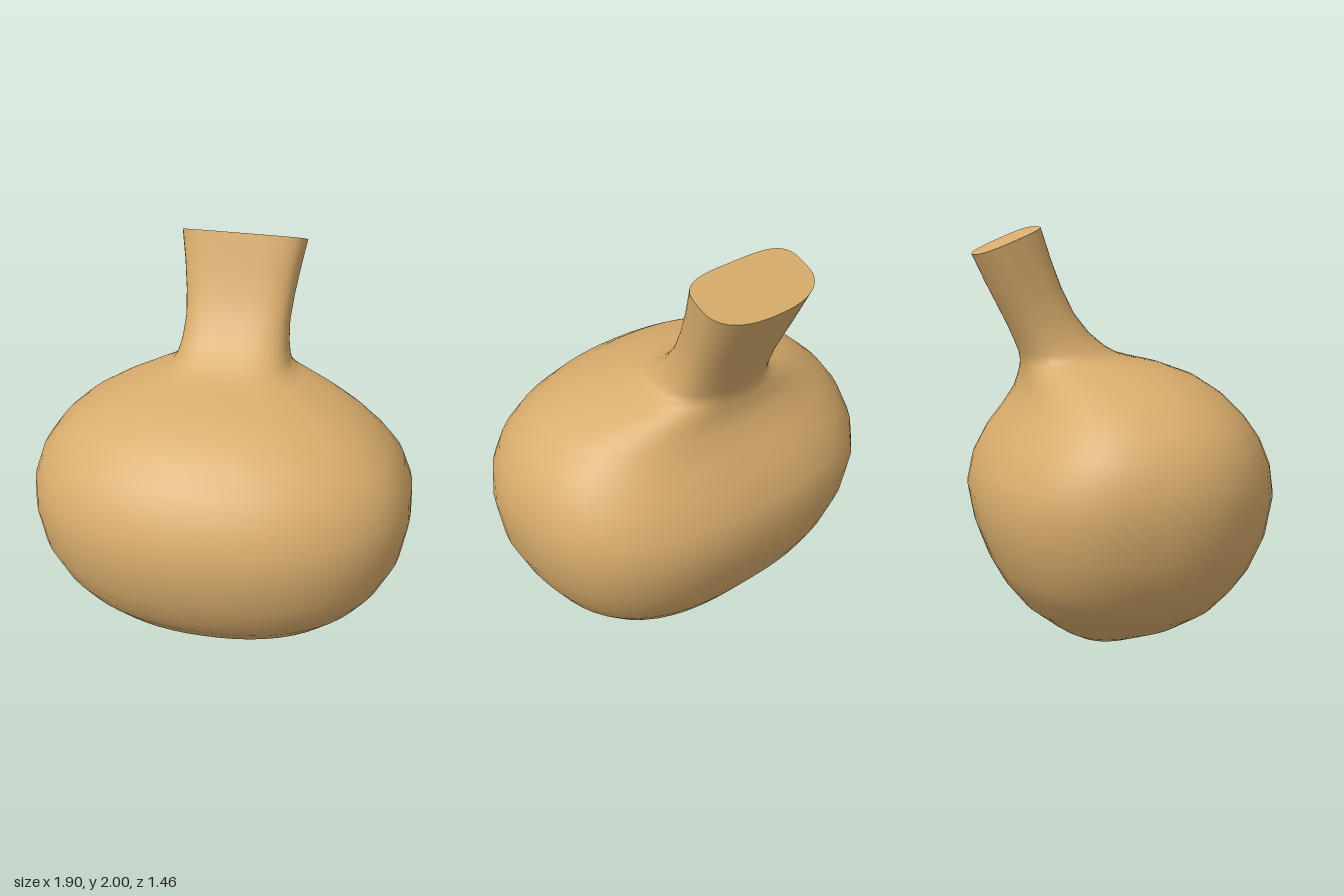
import * as THREE from 'three';

const SEGMENTS = 56;

// Sections from base to mouth: front y, front z, back y, back z, half width
const SECTIONS = [
  [0.003, -0.01, 0.003, -0.13, 0.16], [0.02, 0.03, 0.02, -0.23, 0.29],
  [0.05, 0.09, 0.05, -0.30, 0.41], [0.08, 0.18, 0.08, -0.355, 0.48],
  [0.11, 0.32, 0.11, -0.40, 0.54], [0.2, 0.47, 0.2, -0.51, 0.68],
  [0.3, 0.56, 0.3, -0.59, 0.78], [0.4, 0.63, 0.4, -0.645, 0.85],
  [0.55, 0.695, 0.55, -0.70, 0.92], [0.74, 0.73, 0.72, -0.73, 0.95],
  [0.88, 0.71, 0.86, -0.70, 0.945], [1.0, 0.66, 1.0, -0.625, 0.90],
  [1.1, 0.59, 1.1, -0.55, 0.83], [1.2, 0.49, 1.2, -0.49, 0.72],
  [1.28, 0.37, 1.27, -0.475, 0.58], [1.335, 0.22, 1.32, -0.47, 0.44],
  [1.365, 0.09, 1.35, -0.47, 0.345], [1.39, 0.0, 1.375, -0.475, 0.30],
  [1.43, -0.075, 1.40, -0.48, 0.28], [1.5, -0.16, 1.45, -0.50, 0.265],
  [1.6, -0.24, 1.53, -0.535, 0.258], [1.72, -0.30, 1.63, -0.585, 0.268],
  [1.85, -0.35, 1.74, -0.64, 0.285], [2.0, -0.40, 1.87, -0.70, 0.31],
];

// Superellipse loop tilted between its front and back points
function sectionPoints([yF, zF, yB, zB, w]) {
  const neck = THREE.MathUtils.smoothstep(yF, 1.3, 1.65);
  const points = [];
  for (let j = 0; j < SEGMENTS; j++) {
    const a = (j / SEGMENTS) * Math.PI * 2;
    const s = Math.sin(a), c = Math.cos(a);
    const n = c > 0 ? 2.2 + neck * 1.6 : 2.6 - neck * 0.2;
    const r = Math.pow(Math.abs(s) ** n + Math.abs(c) ** n, -1 / n);
    const t = (1 - c * r) / 2;
    points.push(new THREE.Vector3(
      s * r * w,
      THREE.MathUtils.lerp(yF, yB, t),
      THREE.MathUtils.lerp(zF, zB, t)
    ));
  }
  return points;
}

function makeGeometry(points, index) {
  const geometry = new THREE.BufferGeometry().setFromPoints(points);
  geometry.setIndex(index);
  geometry.computeVertexNormals();
  return geometry;
}

export function createModel() {
  const group = new THREE.Group();
  group.name = 'gourdFlask';
  const tan = new THREE.MeshStandardMaterial({ color: 0xd8ac6c });
  tan.name = 'tan';

  // Rounded body flowing into the leaning neck
  const loops = SECTIONS.map(sectionPoints);
  const points = loops.flat();
  const index = [];
  for (let i = 0; i < loops.length - 1; i++) {
    for (let j = 0; j < SEGMENTS; j++) {
      const k = (j + 1) % SEGMENTS;
      const a = i * SEGMENTS + j, b = i * SEGMENTS + k;
      index.push(a, b, b + SEGMENTS, a, b + SEGMENTS, a + SEGMENTS);
    }
  }
  // Close the base
  const base = points.length;
  points.push(new THREE.Vector3(0, 0, -0.07));
  for (let j = 0; j < SEGMENTS; j++) index.push(base, (j + 1) % SEGMENTS, j);
  const body = new THREE.Mesh(makeGeometry(points, index), tan);
  body.name = 'bodyAndNeck';
  group.add(body);

  // Flat slanted end of the neck
  const rim = loops[loops.length - 1].map((p) => p.clone());
  const capIndex = [];
  for (let j = 0; j < SEGMENTS; j++) capIndex.push(SEGMENTS, j, (j + 1) % SEGMENTS);
  rim.push(new THREE.Vector3(0, 1.935, -0.55));
  const cap = new THREE.Mesh(makeGeometry(rim, capIndex), tan);
  cap.name = 'neckEnd';
  group.add(cap);

  return group;
}
